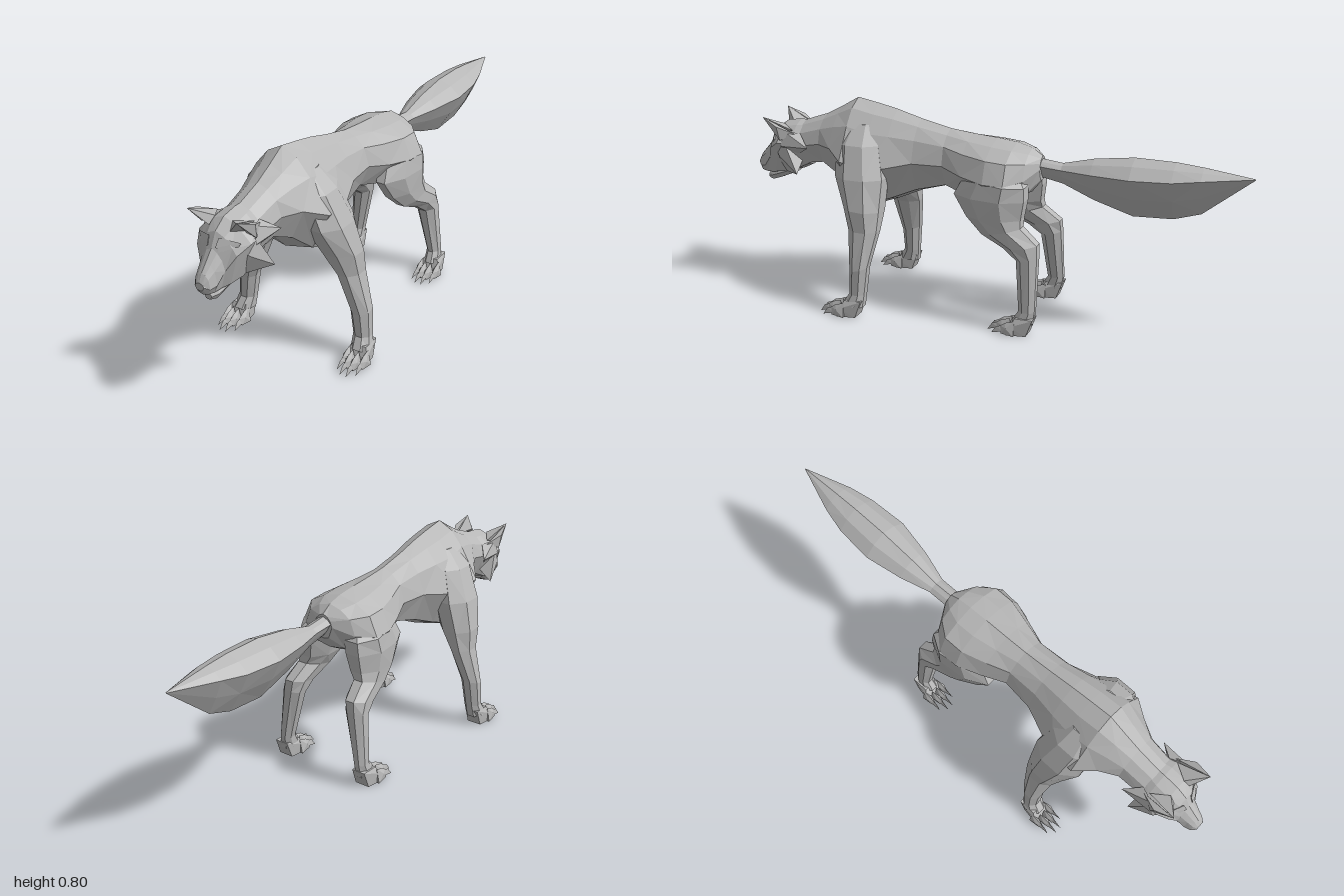
import * as THREE from 'three';
import { ConvexGeometry } from 'three/addons/geometries/ConvexGeometry.js';

const fur = new THREE.MeshStandardMaterial({ color: 0xb8b8b8, flatShading: true });
fur.name = 'greyFur';

// Closed skin through rings of equal point count, turned outward by its signed volume
function loft(rings) {
  const tris = [];
  const n = rings[0].length;
  for (let i = 0; i < rings.length - 1; i++) {
    for (let j = 0; j < n; j++) {
      const k = (j + 1) % n;
      const [a, b, c, d] = [rings[i][j], rings[i][k], rings[i + 1][k], rings[i + 1][j]];
      if ((i + j) % 2) tris.push([a, b, c], [a, c, d]);
      else tris.push([a, b, d], [b, c, d]);
    }
  }
  const cap = (ring, flip) => {
    const mid = ring.reduce((s, p) => s.add(p), new THREE.Vector3()).divideScalar(n);
    ring.forEach((p, j) => {
      const q = ring[(j + 1) % n];
      tris.push(flip ? [mid, q, p] : [mid, p, q]);
    });
  };
  cap(rings[0], true);
  cap(rings[rings.length - 1], false);
  const volume = tris.reduce((s, [a, b, c]) => s + a.dot(b.clone().cross(c)), 0);
  const pts = tris.flatMap(([a, b, c]) => (volume < 0 ? [a, c, b] : [a, b, c]));
  const geo = new THREE.BufferGeometry().setFromPoints(pts);
  geo.computeVertexNormals();
  return geo;
}

// Upright ring for the torso and head: [z, top, bottom, halfWidth, height of widest point, shoulder fullness]
function trunkRing([z, top, bot, hw, yw, full = 0.8]) {
  const h = top - bot;
  const half = [[0.53 * full * hw, top - 0.08 * h], [full * hw, top - 0.24 * h], [hw, yw], [0.62 * hw, bot + 0.07 * h]];
  const left = half.map(([x, y]) => new THREE.Vector3(x, y, z));
  const right = half.map(([x, y]) => new THREE.Vector3(-x, y, z)).reverse();
  return [new THREE.Vector3(0, top, z), ...left, new THREE.Vector3(0, bot, z), ...right];
}

// Sloped leg ring: [front y, back y, inner x, outer x, back z, front z, narrowing towards the front]
function legRing([yF, yB, xi, xo, zb, zf, taper = 0], side) {
  const ring = [];
  for (let i = 0; i < 8; i++) {
    const a = ((i + 0.5) / 8) * Math.PI * 2;
    const v = Math.sin(a) / 0.924;
    const u = (Math.cos(a) / 0.924) * (1 - taper * Math.max(v, 0));
    ring.push(new THREE.Vector3(
      side * ((xi + xo) / 2 + (u * (xo - xi)) / 2),
      (yF + yB) / 2 + (v * (yF - yB)) / 2,
      (zb + zf) / 2 + (v * (zf - zb)) / 2));
  }
  return ring;
}

export function createModel() {
  const model = new THREE.Group();
  const add = (name, geo, parent = model) => {
    const mesh = new THREE.Mesh(geo, fur);
    mesh.name = name;
    parent.add(mesh);
  };
  const hull = (name, points, side, parent) =>
    add(name, new ConvexGeometry(points.map(([x, y, z]) => new THREE.Vector3(x * side, y, z))), parent);

  // Torso and neck
  add('torso', loft([
    [-0.22, 0.645, 0.55, 0.04, 0.6],
    [-0.18, 0.672, 0.5, 0.115, 0.57],
    [-0.12, 0.688, 0.47, 0.17, 0.56],
    [-0.04, 0.697, 0.46, 0.17, 0.56],
    [0.06, 0.705, 0.465, 0.135, 0.57],
    [0.15, 0.715, 0.49, 0.1, 0.59],
    [0.27, 0.742, 0.455, 0.112, 0.59, 0.74],
    [0.37, 0.77, 0.41, 0.15, 0.57, 0.67],
    [0.45, 0.787, 0.38, 0.175, 0.57, 0.64],
    [0.54, 0.803, 0.42, 0.185, 0.59, 0.6],
    [0.61, 0.762, 0.49, 0.13, 0.62, 0.7],
    [0.68, 0.725, 0.525, 0.092, 0.62],
    [0.78, 0.69, 0.51, 0.085, 0.6],
  ].map(trunkRing)));

  // Head with muzzle
  add('head', loft([
    [0.75, 0.69, 0.51, 0.08, 0.6],
    [0.8, 0.692, 0.485, 0.1, 0.61],
    [0.86, 0.682, 0.468, 0.105, 0.61],
    [0.905, 0.65, 0.458, 0.08, 0.58],
    [0.93, 0.6, 0.452, 0.05, 0.53],
    [0.96, 0.565, 0.452, 0.04, 0.49],
    [0.985, 0.537, 0.458, 0.032, 0.485],
    [1.0, 0.508, 0.48, 0.018, 0.495],
  ].map(trunkRing)));
  add('lowerJaw', loft([
    [0.83, 0.5, 0.467, 0.045, 0.485],
    [0.9, 0.485, 0.437, 0.036, 0.46],
    [0.94, 0.465, 0.423, 0.028, 0.445],
    [0.962, 0.452, 0.428, 0.014, 0.44],
  ].map(trunkRing)));

  // Tail: kite-shaped sections [z, top, bottom, halfWidth, side height]
  add('tail', loft([
    [-0.17, 0.64, 0.57, 0.035, 0.615],
    [-0.3, 0.625, 0.545, 0.035, 0.605],
    [-0.42, 0.655, 0.495, 0.07, 0.61],
    [-0.57, 0.675, 0.45, 0.098, 0.615],
    [-0.72, 0.674, 0.458, 0.088, 0.62],
    [-0.82, 0.665, 0.49, 0.065, 0.63],
    [-1, 0.642, 0.638, 0.002, 0.64],
  ].map(([z, t, b, hw, y]) => [
    [0, t], [hw * 0.55, (t * 2 + y) / 3], [hw, y], [hw * 0.55, (b + y) / 2],
    [0, b], [-hw * 0.55, (b + y) / 2], [-hw, y], [-hw * 0.55, (t * 2 + y) / 3],
  ].map(([x, py]) => new THREE.Vector3(x, py, z)))));

  const frontLeg = [
    [0.72, 0.72, 0.02, 0.095, 0.43, 0.55],
    [0.65, 0.65, 0.04, 0.16, 0.4, 0.575],
    [0.53, 0.53, 0.06, 0.213, 0.368, 0.568],
    [0.42, 0.41, 0.1, 0.243, 0.37, 0.52],
    [0.335, 0.335, 0.155, 0.247, 0.373, 0.492],
    [0.18, 0.2, 0.208, 0.283, 0.398, 0.473],
    [0.09, 0.09, 0.222, 0.288, 0.41, 0.472],
    [0.05, 0.04, 0.225, 0.3, 0.415, 0.5],
  ];
  const hindLeg = [
    [0.62, 0.61, 0.03, 0.11, -0.14, -0.03, 0.2],
    [0.57, 0.55, 0.03, 0.175, -0.19, 0.05, 0.4],
    [0.5, 0.5, 0.04, 0.183, -0.193, 0.088, 0.4],
    [0.42, 0.43, 0.06, 0.18, -0.183, 0.035, 0.25],
    [0.36, 0.4, 0.085, 0.18, -0.185, -0.03, 0.2],
    [0.32, 0.345, 0.1, 0.188, -0.253, -0.12, 0.15],
    [0.28, 0.3, 0.11, 0.19, -0.256, -0.175],
    [0.09, 0.09, 0.155, 0.206, -0.258, -0.195],
    [0.05, 0.04, 0.155, 0.213, -0.25, -0.17],
  ];

  // Paw with four clawed toes; x is its centre, z its heel
  const paw = (x, z, side, parent) => {
    hull('paw', [
      [x - 0.028, 0.068, z], [x + 0.028, 0.068, z], [x - 0.03, 0, z + 0.025], [x + 0.03, 0, z + 0.025],
      [x - 0.028, 0.066, z + 0.07], [x + 0.028, 0.066, z + 0.07], [x - 0.042, 0, z + 0.1], [x + 0.042, 0, z + 0.1],
      [x - 0.042, 0.035, z + 0.085], [x + 0.042, 0.035, z + 0.085],
    ], side, parent);
    for (let i = 0; i < 4; i++) {
      const t = i - 1.5;
      const tx = x + t * 0.024;
      const tz = z + (Math.abs(t) < 1 ? 0.142 : 0.118);
      hull('toe', [
        [tx - 0.012, 0, tz - 0.05], [tx + 0.012, 0, tz - 0.05], [tx, 0.058, tz - 0.05],
        [tx - 0.012, 0.03, tz - 0.02], [tx + 0.012, 0.03, tz - 0.02], [tx, 0.048, tz - 0.015],
        [tx - 0.008, 0.006, tz], [tx + 0.008, 0.006, tz], [tx, 0.034, tz + 0.005],
      ], side, parent);
      hull('claw', [
        [tx - 0.007, 0.014, tz - 0.005], [tx + 0.007, 0.014, tz - 0.005],
        [tx, 0.036, tz - 0.005], [tx, 0.028, tz + 0.022], [tx + t * 0.002, 0.001, tz + 0.04],
      ], side, parent);
    }
  };

  for (const side of [1, -1]) {
    const label = side > 0 ? 'left' : 'right';

    // Legs
    for (const [name, rows, x, z] of [['FrontLeg', frontLeg, 0.266, 0.415], ['HindLeg', hindLeg, 0.188, -0.258]]) {
      const leg = new THREE.Group();
      leg.name = label + name;
      add('limb', loft(rows.map((r) => legRing(r, side))), leg);
      paw(x, z, side, leg);
      model.add(leg);
    }

    // Ear: a back shell and an outer flap leaving a hollow between them
    hull(label + 'EarInner', [
      [0.035, 0.675, 0.86], [0.042, 0.65, 0.885], [0.075, 0.66, 0.8], [0.075, 0.645, 0.85], [0.098, 0.71, 0.92],
    ], side);
    hull(label + 'EarOuter', [
      [0.112, 0.625, 0.84], [0.08, 0.64, 0.85], [0.085, 0.65, 0.785], [0.116, 0.68, 0.85], [0.098, 0.71, 0.92],
    ], side);

    // Cheek ruffs sweeping backwards
    hull(label + 'CheekRuff', [
      [0.1, 0.62, 0.83], [0.045, 0.482, 0.87], [0.102, 0.56, 0.855], [0.07, 0.59, 0.885],
      [0.06, 0.54, 0.77], [0.122, 0.495, 0.765],
    ], side);
    hull(label + 'UpperRuff', [
      [0.095, 0.66, 0.83], [0.108, 0.6, 0.84], [0.07, 0.56, 0.79], [0.07, 0.65, 0.77], [0.116, 0.605, 0.715],
    ], side);

    // Brow ridge
    hull(label + 'Brow', [
      [0.015, 0.605, 0.93], [0.02, 0.635, 0.915], [0.085, 0.62, 0.885],
      [0.075, 0.602, 0.893], [0.045, 0.59, 0.918], [0.04, 0.6, 0.88],
    ], side);
  }
  return model;
}
